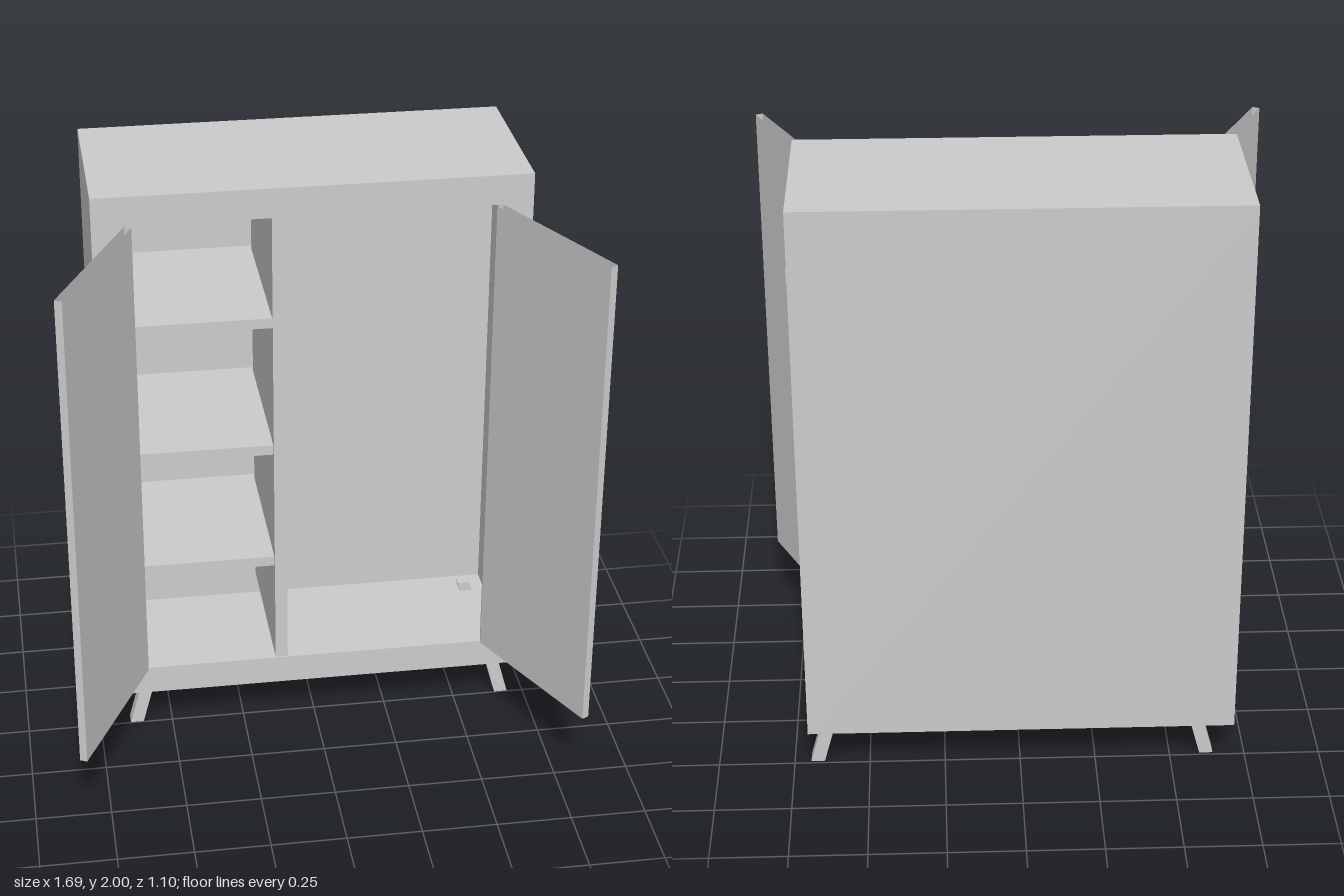
import * as THREE from 'three';

const grey = new THREE.MeshStandardMaterial({ color: 0xcccccc, flatShading: true });
const sheet = new THREE.MeshStandardMaterial({ color: 0xcccccc, flatShading: true, side: THREE.DoubleSide });

// Outer extents of the cabinet body
const X0 = -0.705, X1 = 0.7, Y0 = 0.15, Y1 = 2, Z0 = -0.55, Z1 = 0.04;
// Opening in the front frame
const OX = 0.585, OY0 = 0.25, OY1 = 1.9;

// Box given by its limits; `open` lists sides to leave out (0..5: +x -x +y -y +z -z)
function boxGeometry(x0, x1, y0, y1, z0, z1, open = []) {
  const g = new THREE.BoxGeometry(x1 - x0, y1 - y0, z1 - z0);
  g.translate((x0 + x1) / 2, (y0 + y1) / 2, (z0 + z1) / 2);
  g.setIndex(Array.from(g.index.array).filter((_, i) => !open.includes(Math.floor(i / 6))));
  g.clearGroups();
  return g;
}

export function createModel() {
  const model = new THREE.Group();
  model.name = 'wardrobe';
  const add = (name, geometry, material = grey) => {
    const mesh = new THREE.Mesh(geometry, material);
    mesh.name = name;
    model.add(mesh);
    return mesh;
  };

  // Thin-walled body, open at the front
  add('body', boxGeometry(X0, X1, Y0, Y1, Z0, Z1, [4]), sheet);

  // Front frame around the opening
  const frame = new THREE.Shape([[X0, Y0], [X1, Y0], [X1, Y1], [X0, Y1]].map(p => new THREE.Vector2(...p)));
  frame.holes.push(new THREE.Path([[-OX, OY0], [-OX, OY1], [OX, OY1], [OX, OY0]].map(p => new THREE.Vector2(...p))));
  const frameGeometry = new THREE.ExtrudeGeometry(frame, { depth: 0.02, bevelEnabled: false });
  add('frontFrame', frameGeometry.translate(0, 0, Z1 - 0.02));

  // Divider, shelves and hanging rail
  add('divider', boxGeometry(-0.138, -0.096, OY0, OY1, -0.52, 0.035));
  for (const y of [0.615, 1.045, 1.51]) {
    add('shelf', boxGeometry(X0 + 0.002, -0.138, y, y + 0.035, Z0 + 0.002, 0.025));
  }
  add('hangingRail', boxGeometry(-0.096, X1 + 0.005, 1.752, 1.79, -0.505, -0.475, [0, 1]));

  // Open doors, hinged at the outer edges of the opening
  for (const side of [-1, 1]) {
    const door = add(side < 0 ? 'rightDoor' : 'leftDoor',
      boxGeometry(-0.0125, 0.0125, OY0, OY1, -0.2775, 0.2775, [2, 3]), sheet);
    door.position.set(side * 0.7125, 0, 0.295);
    door.rotation.y = side * THREE.MathUtils.degToRad(26);
  }

  // Splayed legs with level feet, reaching slightly through the floor
  for (const side of [-1, 1]) {
    for (const z of [-0.025, -0.467]) {
      const g = boxGeometry(-0.0225, 0.0225, 0, 0.185, -0.0225, 0.0225);
      const p = g.attributes.position;
      for (let i = 0; i < p.count; i++) p.setX(i, p.getX(i) - side * 0.27 * p.getY(i));
      g.computeVertexNormals();
      add(z > -0.2 ? 'frontLeg' : 'backLeg', g).position.set(0.025 + side * 0.648, 0, z);
    }
  }
  return model;
}
